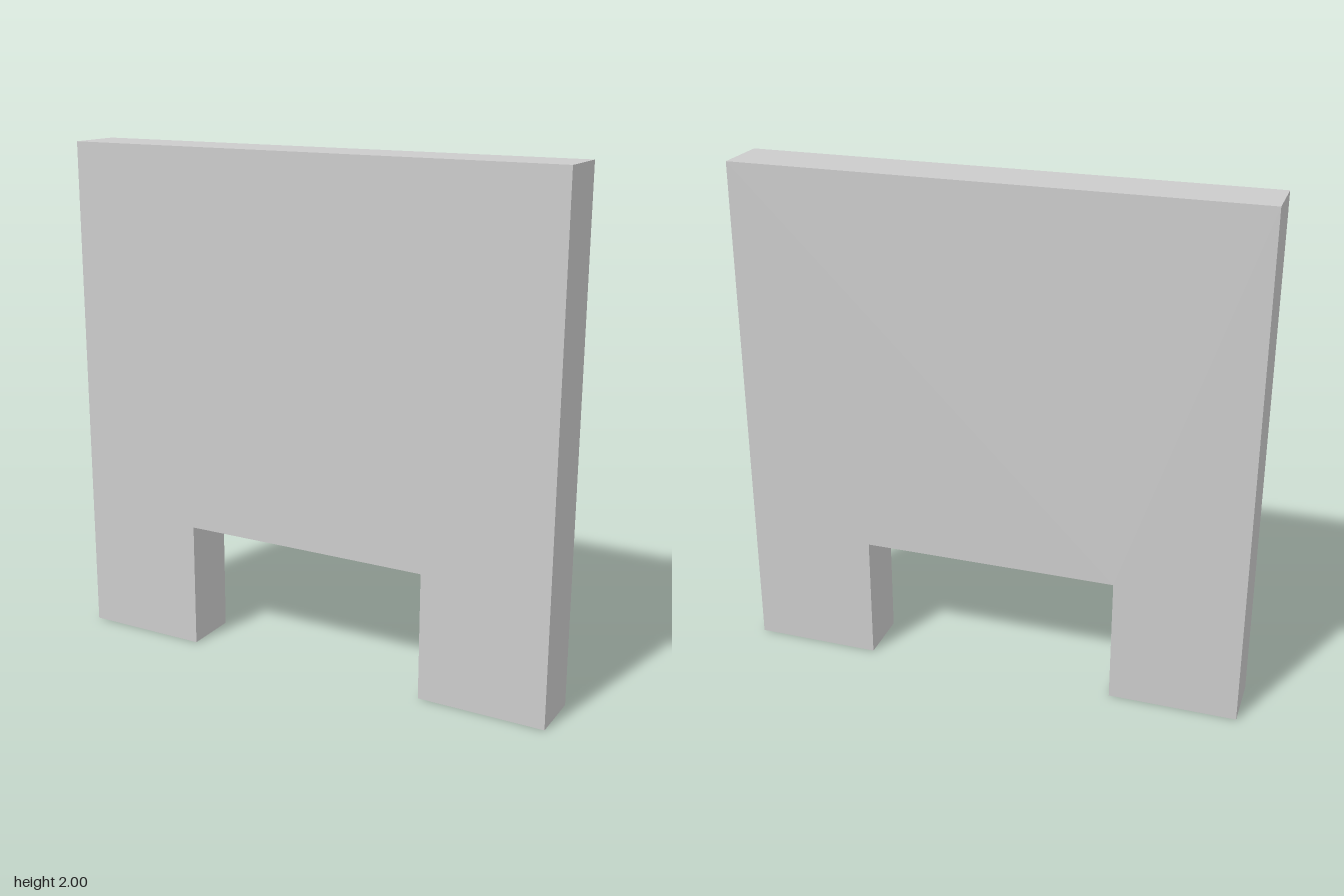
import * as THREE from 'three';

const SIZE = 2;
const DEPTH = 0.22;
const NOTCH_HALF = 0.5;
const NOTCH_HEIGHT = 0.5;

export function createModel() {
  const model = new THREE.Group();
  model.name = 'notchedPanel';

  // Square outline with a rectangular opening at the bottom, leaving two feet
  const h = SIZE / 2;
  const outline = new THREE.Shape([
    [-h, 0], [-NOTCH_HALF, 0], [-NOTCH_HALF, NOTCH_HEIGHT],
    [NOTCH_HALF, NOTCH_HEIGHT], [NOTCH_HALF, 0], [h, 0],
    [h, SIZE], [-h, SIZE],
  ].map(([x, y]) => new THREE.Vector2(x, y)));

  // Slab, centred front to back
  const geometry = new THREE.ExtrudeGeometry(outline, { depth: DEPTH, bevelEnabled: false });
  geometry.translate(0, 0, -DEPTH / 2);

  const panel = new THREE.Mesh(geometry, new THREE.MeshStandardMaterial({ color: 0xcccccc }));
  panel.name = 'panel';
  model.add(panel);
  return model;
}
